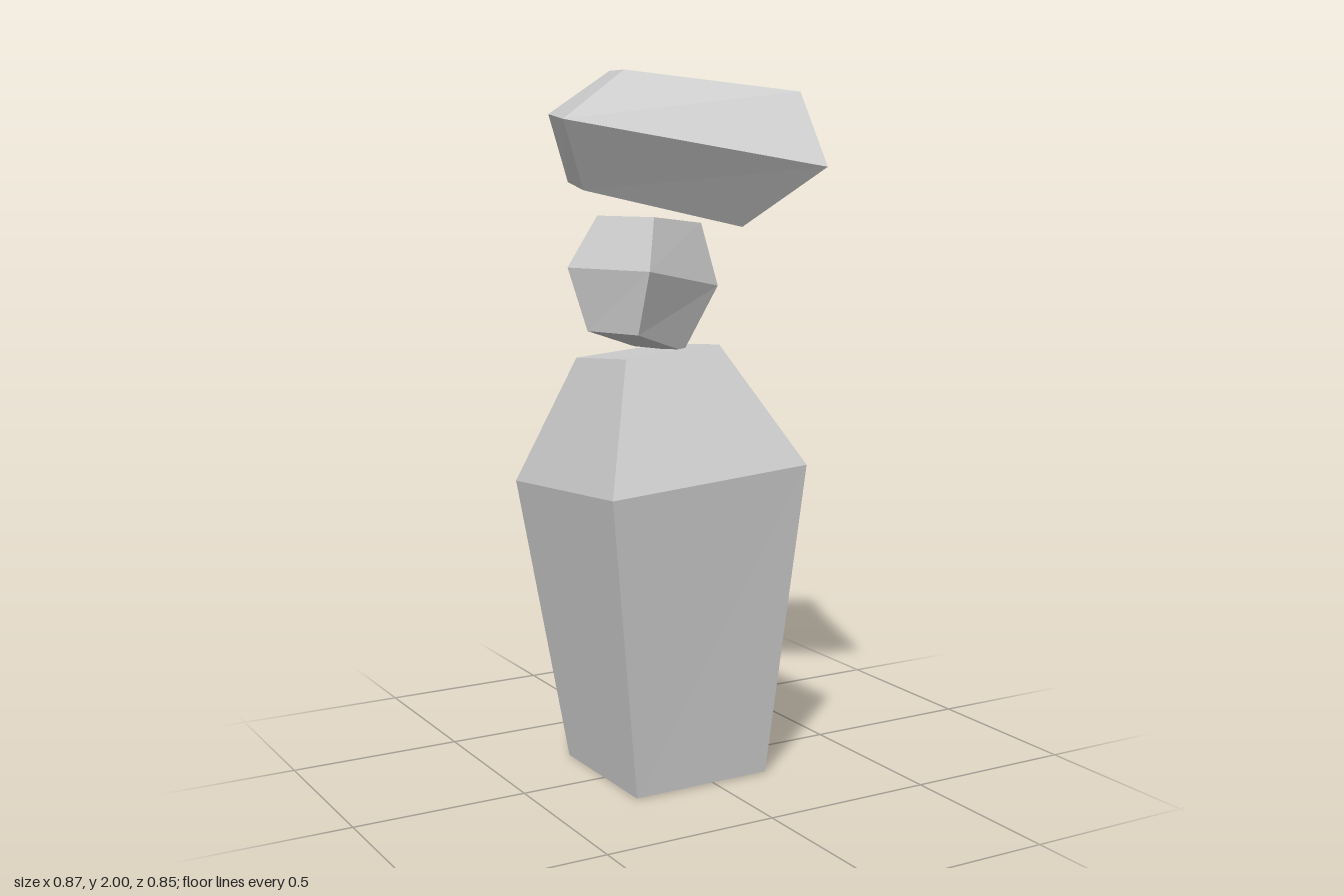
import * as THREE from 'three';

// A faceted stone: stacked four-cornered rings (bottom to top), each ring
// running counter-clockwise when looked at from above.
function stone(name, rings) {
  const positions = [];
  const quad = (a, b, c, d) => positions.push(...a, ...b, ...c, ...a, ...c, ...d);

  const [b0, b1, b2, b3] = rings[0];
  quad(b3, b2, b1, b0); // underside
  for (let r = 0; r < rings.length - 1; r++) {
    const low = rings[r], high = rings[r + 1];
    for (let i = 0; i < 4; i++) {
      const j = (i + 1) % 4;
      quad(low[i], low[j], high[j], high[i]);
    }
  }
  quad(...rings[rings.length - 1]); // upper face

  const geometry = new THREE.BufferGeometry();
  geometry.setAttribute('position', new THREE.Float32BufferAttribute(positions, 3));
  geometry.computeVertexNormals();
  const material = new THREE.MeshStandardMaterial({ color: 0xcccccc, flatShading: true });
  const mesh = new THREE.Mesh(geometry, material);
  mesh.name = name;
  return mesh;
}

// Axis-aligned ring whose height y is given at the centre; it rises
// by tilt towards +x and towards +z.
function alignedRing(x0, x1, z0, z1, y, tilt) {
  return [
    [x0, y, z1],
    [x1, y + tilt, z1],
    [x1, y, z0],
    [x0, y - tilt, z0],
  ];
}

export function createModel() {
  const group = new THREE.Group();
  group.name = 'stackedStones';

  // Tall tapered stone standing on the ground
  group.add(stone('baseStone', [
    alignedRing(-0.25, 0.17, -0.22, 0.2, 0.003, 0.003),
    alignedRing(-0.365, 0.245, -0.32, 0.285, 0.867, 0.043),
    alignedRing(-0.23, 0.065, -0.19, 0.11, 1.215, 0.025),
  ]));

  // Small turned stone in the middle
  group.add(stone('middleStone', [
    [[-0.2, 1.28, 0.125], [-0.015, 1.22, 0.05], [-0.075, 1.22, -0.13], [-0.265, 1.28, -0.05]],
    [[-0.195, 1.455, 0.18], [0.09, 1.4, 0.06], [-0.02, 1.4, -0.21], [-0.305, 1.455, -0.09]],
    [[-0.145, 1.597, 0.115], [0.053, 1.575, 0.03], [-0.03, 1.575, -0.155], [-0.222, 1.597, -0.07]],
  ]));

  // Wide tilted stone balanced on top
  group.add(stone('topStone', [
    [[-0.335, 1.67, 0.07], [0.07, 1.57, 0.22], [0.215, 1.59, -0.195], [-0.19, 1.685, -0.315]],
    [[-0.437, 1.855, 0.158], [0.21, 1.732, 0.42], [0.437, 1.77, -0.225], [-0.197, 1.88, -0.425]],
    [[-0.243, 1.985, 0.13], [0.193, 1.93, 0.312], [0.343, 1.955, -0.117], [-0.085, 2, -0.253]],
  ]));

  return group;
}
